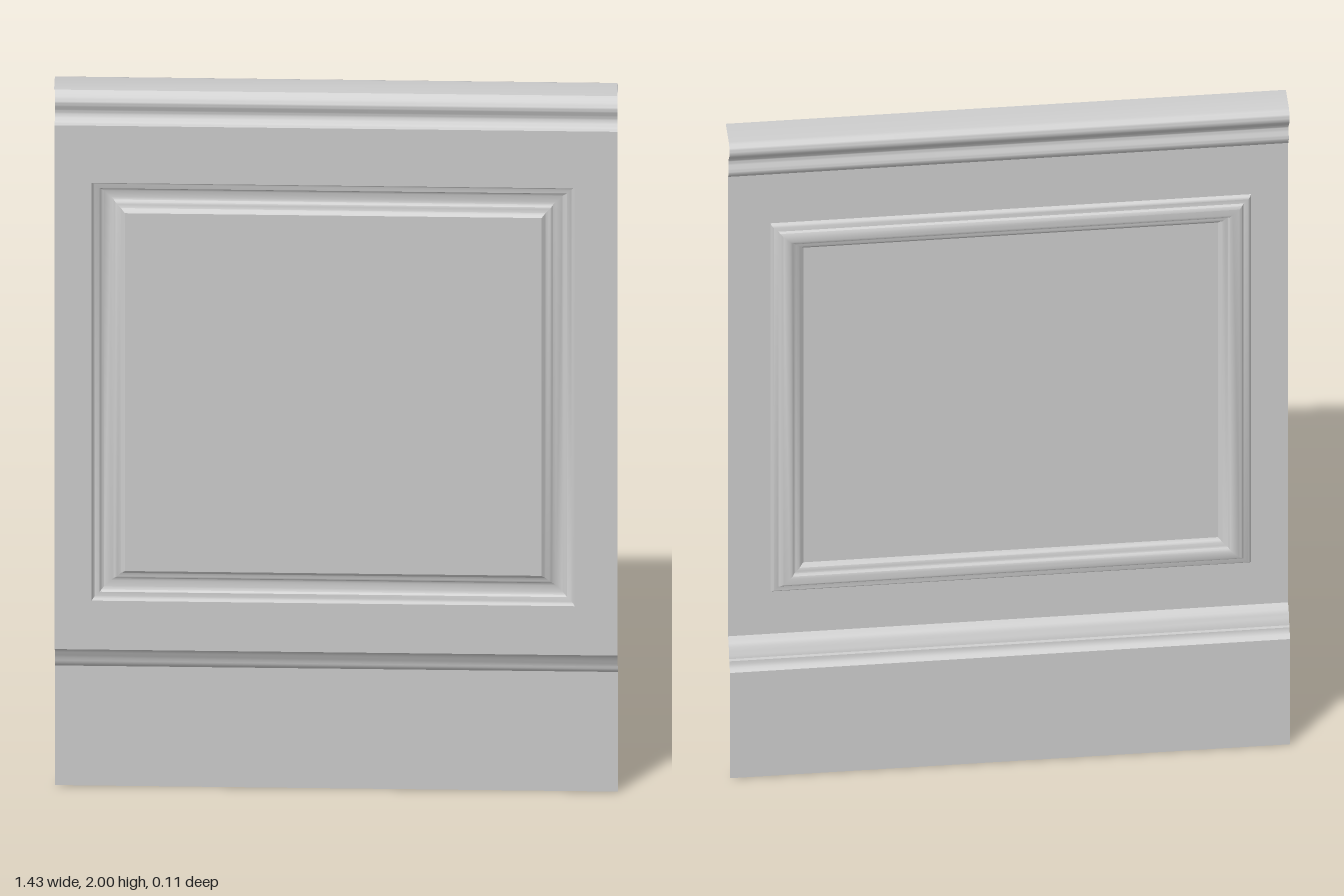
import * as THREE from 'three';
import { toCreasedNormals } from 'three/addons/utils/BufferGeometryUtils.js';

const HALF = 0.713;                        // half width of the whole panel
const FIELD_TOP = 1.875, FIELD_BOTTOM = 0.408;
const FRAME = { x: -0.007, y: 1.13, w: 0.612, h: 0.585 };

const material = new THREE.MeshStandardMaterial({ color: 0xcccccc, side: THREE.DoubleSide });

// Skin a sheet between rows that all have the same number of points
function sheet(name, rows) {
  const n = rows[0].length, index = [];
  for (let i = 0; i < rows.length - 1; i++) {
    for (let j = 0; j < n - 1; j++) {
      const a = i * n + j, b = a + 1, c = a + n, d = c + 1;
      index.push(a, b, d, a, d, c);
    }
  }
  const geometry = new THREE.BufferGeometry();
  geometry.setAttribute('position', new THREE.Float32BufferAttribute(rows.flat(2), 3));
  geometry.setIndex(index);
  const mesh = new THREE.Mesh(toCreasedNormals(geometry, 0.7), material);
  mesh.name = name;
  return mesh;
}

// Straight run across the full width from a [z, y] profile
const run = (name, profile) =>
  sheet(name, profile.map(([z, y]) => [[-HALF, y, z], [HALF, y, z]]));

// Closed rectangular loop of points
const rect = (x0, x1, y0, y1, z) =>
  [[x0, y1, z], [x1, y1, z], [x1, y0, z], [x0, y0, z], [x0, y1, z]];

// Frame outline moved inwards by d
const frameLoop = (d, z) => rect(
  FRAME.x - FRAME.w + d, FRAME.x + FRAME.w - d,
  FRAME.y - FRAME.h + d, FRAME.y + FRAME.h - d, z);

export function createModel() {
  const group = new THREE.Group();
  group.name = 'wallPanel';

  // Top rail: flat ledge, rounded nose, cove and lower bead
  const rail = new THREE.SplineCurve([
    [-0.024, 2], [-0.036, 1.994], [-0.042, 1.98], [-0.038, 1.964], [-0.022, 1.945],
    [-0.014, 1.93], [-0.018, 1.915], [-0.022, 1.902], [-0.017, 1.888], [-0.008, 1.877],
  ].map(([z, y]) => new THREE.Vector2(z, y))).getPoints(27).map((p) => [p.x, p.y]);
  group.add(run('topRail', [[0.053, 2], ...rail, [0, FIELD_TOP]]));

  // Flat field around the frame
  group.add(sheet('field', [
    rect(-HALF, HALF, FIELD_BOTTOM, FIELD_TOP, 0),
    frameLoop(0, 0),
  ]));

  // Stepped, mitred picture frame moulding: [inset, z]
  const steps = [
    [0, 0], [0.003, -0.007], [0.008, -0.011], [0.02, -0.011], [0.024, -0.016],
    [0.031, -0.021], [0.048, -0.021], [0.055, -0.019], [0.06, -0.013],
    [0.065, -0.011], [0.074, -0.009], [0.078, -0.004], [0.084, 0],
  ];
  group.add(sheet('frameMoulding', steps.map(([d, z]) => frameLoop(d, z))));

  // Centre panel inside the frame
  const inner = frameLoop(0.084, 0);
  group.add(sheet('centrePanel', [[inner[0], inner[1]], [inner[3], inner[2]]]));

  // Moulded top of the skirting
  group.add(run('skirtingMoulding', [
    [0, FIELD_BOTTOM], [-0.008, 0.405], [-0.017, 0.398], [-0.023, 0.389],
    [-0.027, 0.379], [-0.032, 0.37], [-0.034, 0.361], [-0.042, 0.36],
    [-0.043, 0.351], [-0.048, 0.343], [-0.054, 0.338], [-0.058, 0.335],
  ]));

  // Flat skirting board
  group.add(run('skirtingBoard', [[-0.058, 0.335], [-0.058, 0]]));

  return group;
}
